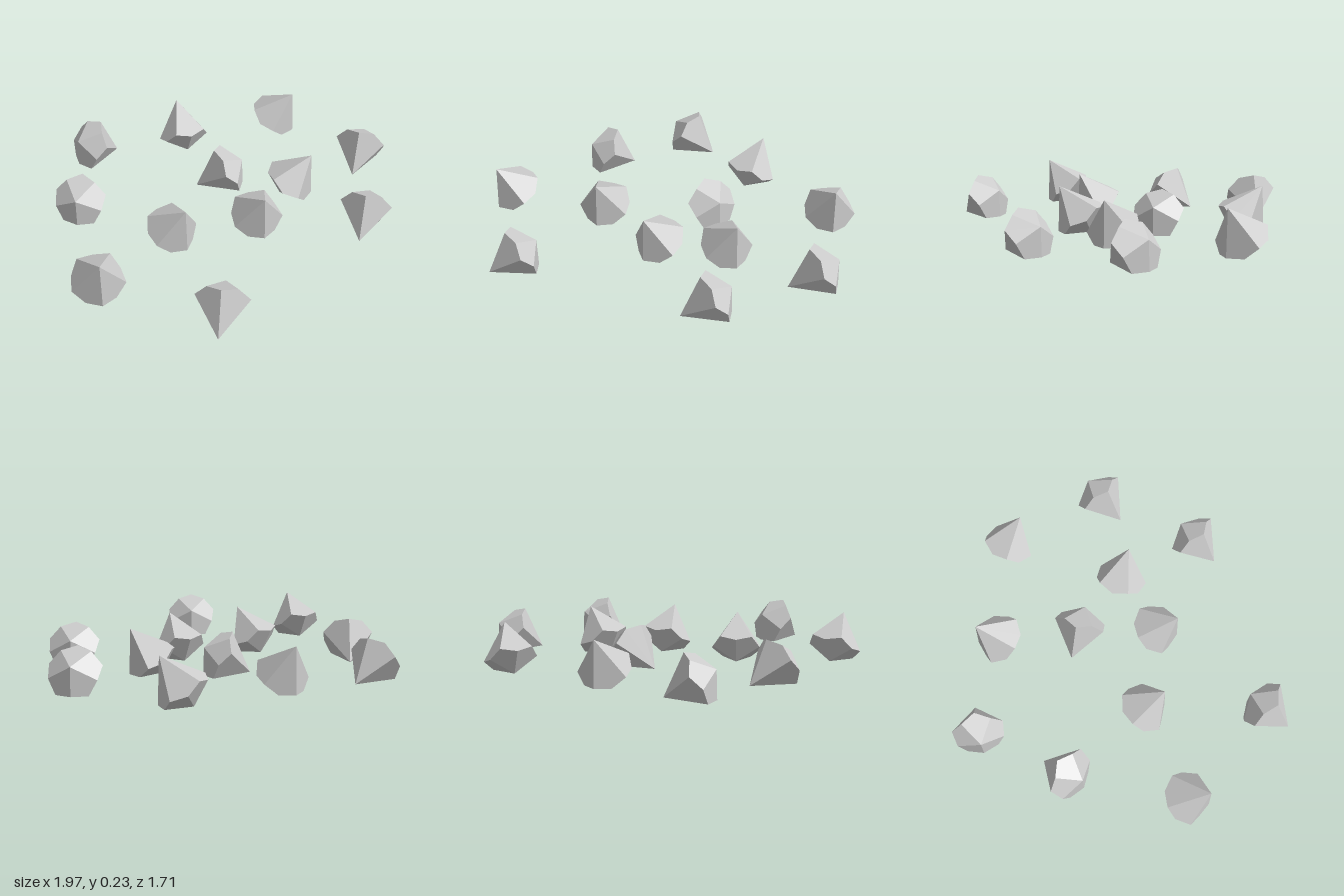
import * as THREE from 'three';

// Proportions of one stone, measured along its axis from the sharp tip
const R = 0.138;             // radius of the lower ring
const Q = 0.126;             // radius of the upper ring
const P = 0.19;              // tip to lower ring
const C36 = Math.cos(Math.PI / 5);
const K = Q * P / (R * C36); // tip to upper ring, keeps the long kites flat
const RHO = Q / R;
const T = P * (RHO / C36 - C36 * RHO) / (1 - C36 * RHO); // tip to blunt end, keeps the short kites flat

// Ten-sided stone of kite faces: five long ones at the tip, five short ones at the crown
function stoneGeometry() {
  const ring = (radius, y, deg) => {
    const a = THREE.MathUtils.degToRad(deg);
    return new THREE.Vector3(radius * Math.cos(a), y, radius * Math.sin(a));
  };
  const tip = new THREE.Vector3(0, 0, 0);
  const crown = new THREE.Vector3(0, T, 0);
  const low = i => ring(R, P, 72 * i);
  const high = i => ring(Q, K, 72 * i + 36);
  const points = [];
  const kite = (a, b, c, d) => points.push(a, b, c, a, c, d);
  for (let i = 0; i < 5; i++) {
    kite(tip, low(i), high(i), low(i + 1));
    kite(crown, high(i), low(i), high(i - 1));
  }
  const geometry = new THREE.BufferGeometry().setFromPoints(points);
  geometry.computeVertexNormals();
  return geometry;
}

export function createModel() {
  const group = new THREE.Group();
  group.name = 'scatteredStones';
  const geometry = stoneGeometry();
  const material = new THREE.MeshStandardMaterial({ color: 0xcccccc, flatShading: true });

  const longTilt = Math.atan2(Q, K);      // axis elevation when lying on a long face
  const shortTilt = Math.atan2(T - P, R); // axis lean when lying on a short face

  // Stones lying on a long face, tip on the ground: tip x, tip z, heading in degrees
  const lying = [
    [-0.19, -0.735, 184], [-0.527, -0.42, 227], [0.003, -0.2, -26],
    [0.762, 0.184, 38], [0.436, 0.65, 41], [-0.543, 0.853, 48.5],
  ];
  // Stones lying on a short face, tip up: tip x, tip z, heading in degrees
  const upright = [
    [0.165, -0.667, 260], [0.746, -0.361, 129], [-0.329, 0.233, 100],
    [0.05, 0.366, 78], [0.474, 0.18, 148], [-0.874, 0.366, 72],
  ];

  const place = (name, x, y, z, heading, tilt) => {
    const mesh = new THREE.Mesh(geometry, material);
    mesh.name = name;
    mesh.position.set(x, y, z);
    mesh.rotation.set(0, THREE.MathUtils.degToRad(heading), tilt, 'YZX');
    group.add(mesh);
  };
  lying.forEach(([x, z, a], i) =>
    place(`lyingStone${i + 1}`, x, 0, z, a - 180, Math.PI / 2 - longTilt));
  upright.forEach(([x, z, a], i) =>
    place(`uprightStone${i + 1}`, x, T * Math.cos(shortTilt), z, a, shortTilt - Math.PI));
  return group;
}
